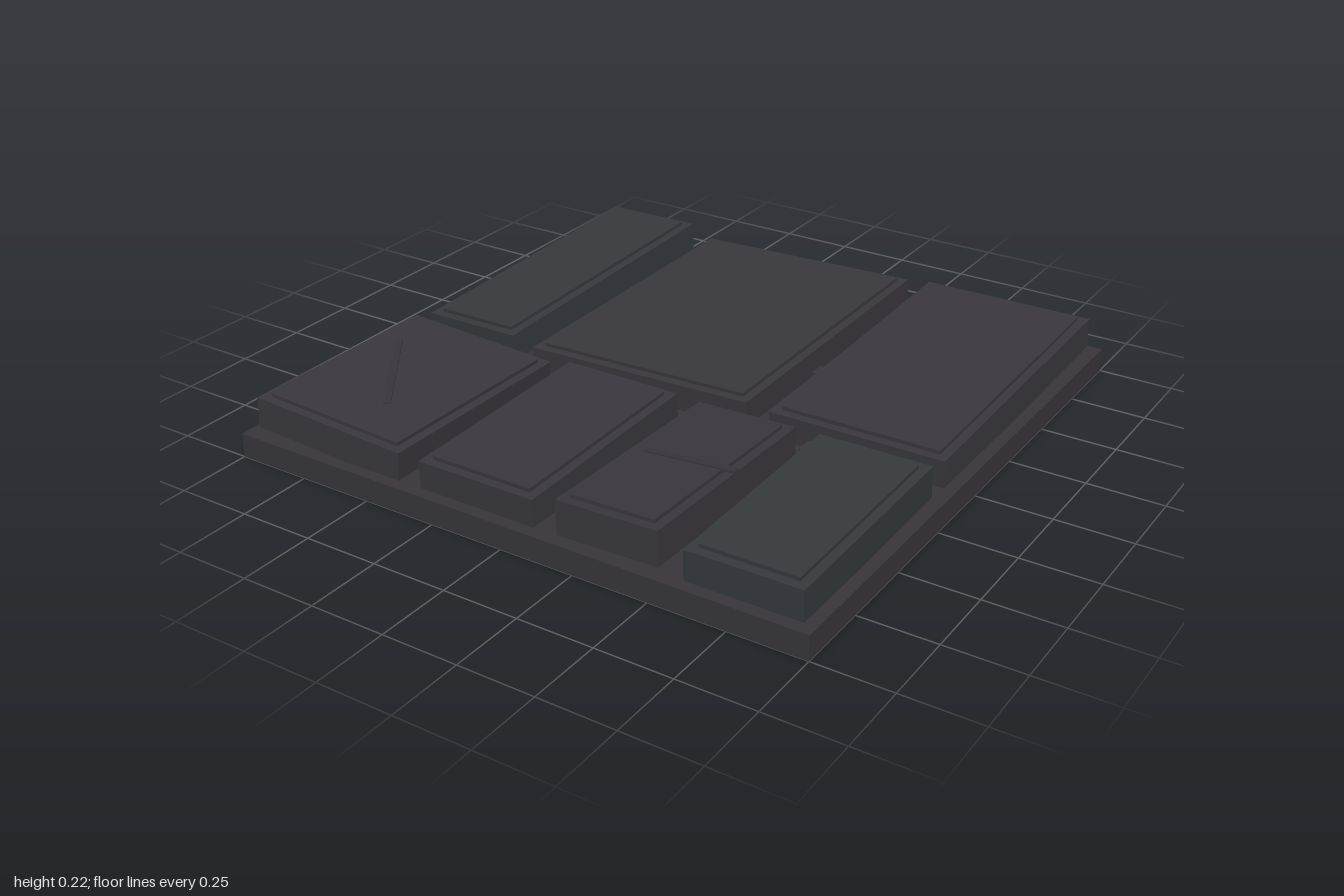
import * as THREE from 'three';

const mat = (name, color) => {
  const m = new THREE.MeshStandardMaterial({ color });
  m.name = name;
  return m;
};

export function createModel() {
  const model = new THREE.Group();
  model.name = 'stoneFloorTile';
  const baseMat = mat('mortar', 0x38363c);
  const stoneMat = mat('stone', 0x3a383e);
  const blueMat = mat('blueStone', 0x363a3e);

  const box = (parent, name, size, pos, material, turn = 0) => {
    const mesh = new THREE.Mesh(new THREE.BoxGeometry(...size), material);
    mesh.name = name;
    mesh.position.set(...pos);
    mesh.rotation.y = turn;
    parent.add(mesh);
    return mesh;
  };

  // Base slab
  box(model, 'base', [2, 0.08, 2], [0, 0.04, 0], baseMat);

  // Slightly tilted paving stones: a block with a thin inset top
  const BED = 0.08, CAP = 0.012, INSET = 0.03;
  const addStone = ([name, x0, x1, z0, z1, top, tiltX, tiltZ, material]) => {
    const g = new THREE.Group();
    g.name = name;
    const h = top - CAP - BED, w = x1 - x0, d = z1 - z0;
    g.position.set((x0 + x1) / 2, BED + h / 2, (z0 + z1) / 2);
    g.rotation.set(tiltX, 0, tiltZ);
    box(g, 'block', [w, h, d], [0, 0, 0], material);
    box(g, 'cap', [w - 2 * INSET, CAP, d - 2 * INSET], [0, h / 2 + CAP / 2, 0], material);
    model.add(g);
    return g;
  };

  const [, , , crackedA, , crackedB] = [
    ['backRightStone', -0.96, -0.61, -0.96, 0.14, 0.196, 0.025, 0.012, blueMat],
    ['backMiddleStone', -0.53, 0.29, -0.96, 0.14, 0.178, 0.008, 0.03, stoneMat],
    ['backLeftStone', 0.37, 0.96, -0.96, 0.14, 0.194, 0.025, 0.006, stoneMat],
    ['frontRightStone', -0.96, -0.40, 0.22, 0.96, 0.194, -0.01, -0.05, stoneMat],
    ['frontMiddleStone', -0.32, 0.09, 0.22, 0.96, 0.19, 0.02, 0, stoneMat],
    ['frontInnerStone', 0.17, 0.51, 0.22, 0.96, 0.204, -0.025, 0.03, stoneMat],
    ['frontLeftStone', 0.59, 0.96, 0.22, 0.96, 0.197, 0.016, 0.006, blueMat],
  ].map(addStone);

  // Raised crack strips lying across two of the stones
  const addCrack = (stone, ax, az, bx, bz) => {
    const { x, z } = stone.position;
    const y = stone.children[1].position.y + CAP / 2;
    box(stone, 'crack', [Math.hypot(bx - ax, bz - az), 0.008, 0.024],
      [(ax + bx) / 2 - x, y, (az + bz) / 2 - z], baseMat, -Math.atan2(bz - az, bx - ax));
  };
  addCrack(crackedA, -0.87, 0.41, -0.61, 0.77);
  addCrack(crackedB, 0.225, 0.598, 0.52, 0.574);

  // Small rubble chips in the joints
  for (const [x, z, w, d] of [
    [0.302, -0.30, 0.03, 0.06], [0.54, 0.17, 0.06, 0.06], [0.755, 0.15, 0.06, 0.03],
    [0.575, 0.345, 0.03, 0.06], [-0.385, 0.81, 0.03, 0.06],
  ]) box(model, 'chip', [w, 0.035, d], [x, 0.0895, z], stoneMat);

  return model;
}
